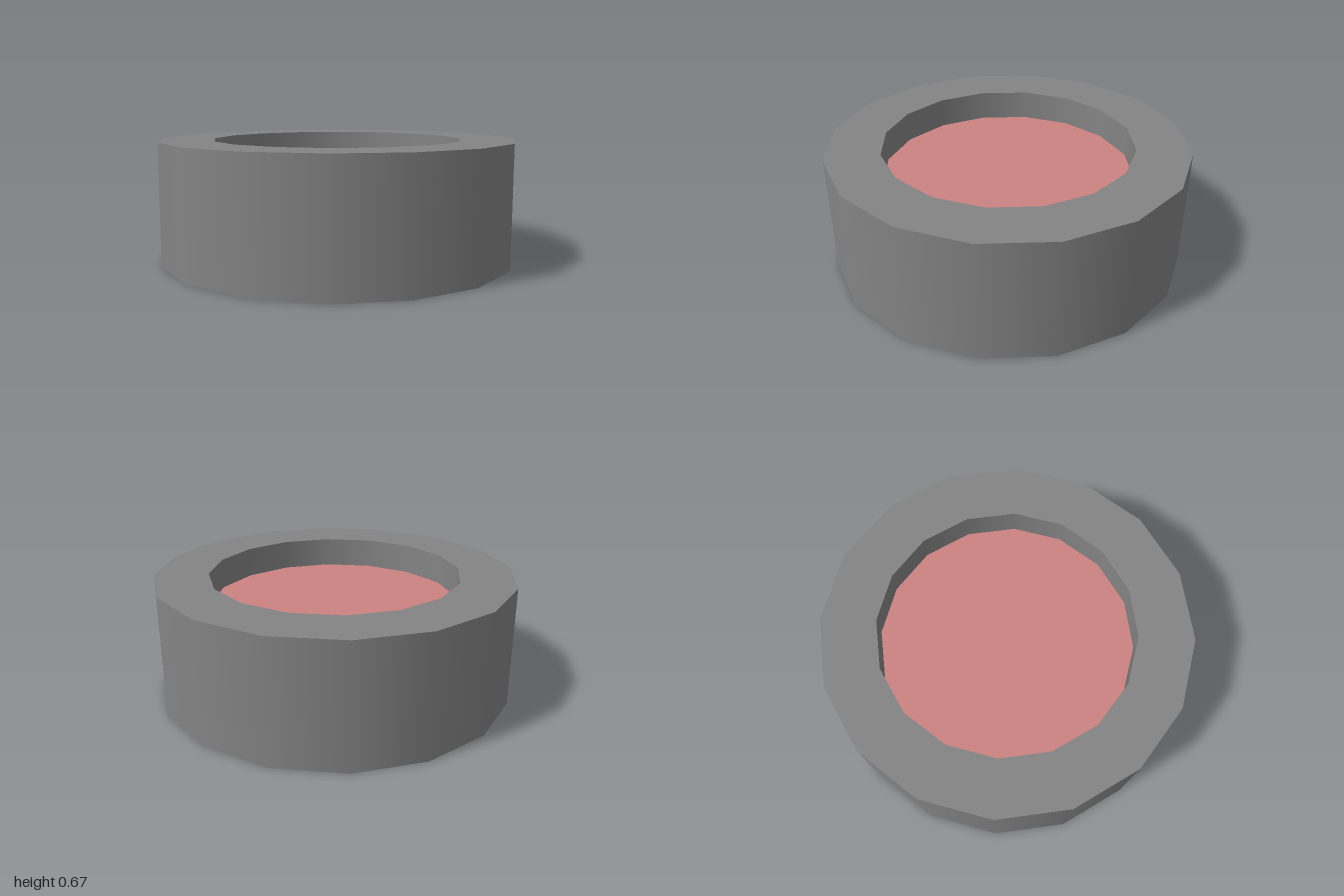
import * as THREE from 'three';
import { mergeGeometries } from 'three/addons/utils/BufferGeometryUtils.js';

const SIDES = 16;
const HEIGHT = 0.67;
const OUTER = 1;
const INNER = 0.7;

// Sweeps each edge of a closed profile separately, so the sides are smooth and the rims sharp
function sharpLathe(profile) {
  const points = profile.map(([x, y]) => new THREE.Vector2(x, y));
  return mergeGeometries(points.map((p, i) =>
    new THREE.LatheGeometry([p, points[(i + 1) % points.length]], SIDES)));
}

// Flat disc filling the hole, facing up or down
function disc(name, y, facing, material) {
  const mesh = new THREE.Mesh(new THREE.CircleGeometry(INNER, SIDES), material);
  mesh.rotation.x = -facing * Math.PI / 2;
  mesh.position.y = y;
  mesh.name = name;
  return mesh;
}

export function createModel() {
  const group = new THREE.Group();
  group.name = 'roundButton';
  const grey = new THREE.MeshStandardMaterial({ color: 0x848484 });
  const red = new THREE.MeshStandardMaterial({ color: 0xcc8282 });

  // Outer ring: outside wall, top rim, inside wall, bottom rim
  const ring = new THREE.Mesh(sharpLathe([
    [OUTER, 0], [OUTER, HEIGHT], [INNER, HEIGHT], [INNER, 0],
  ]), grey);
  ring.name = 'ring';
  group.add(ring);

  // Recessed plate: coloured top, grey underside
  group.add(disc('plateTop', 0.5, 1, red));
  group.add(disc('plateUnderside', 0.335, -1, grey));
  return group;
}
